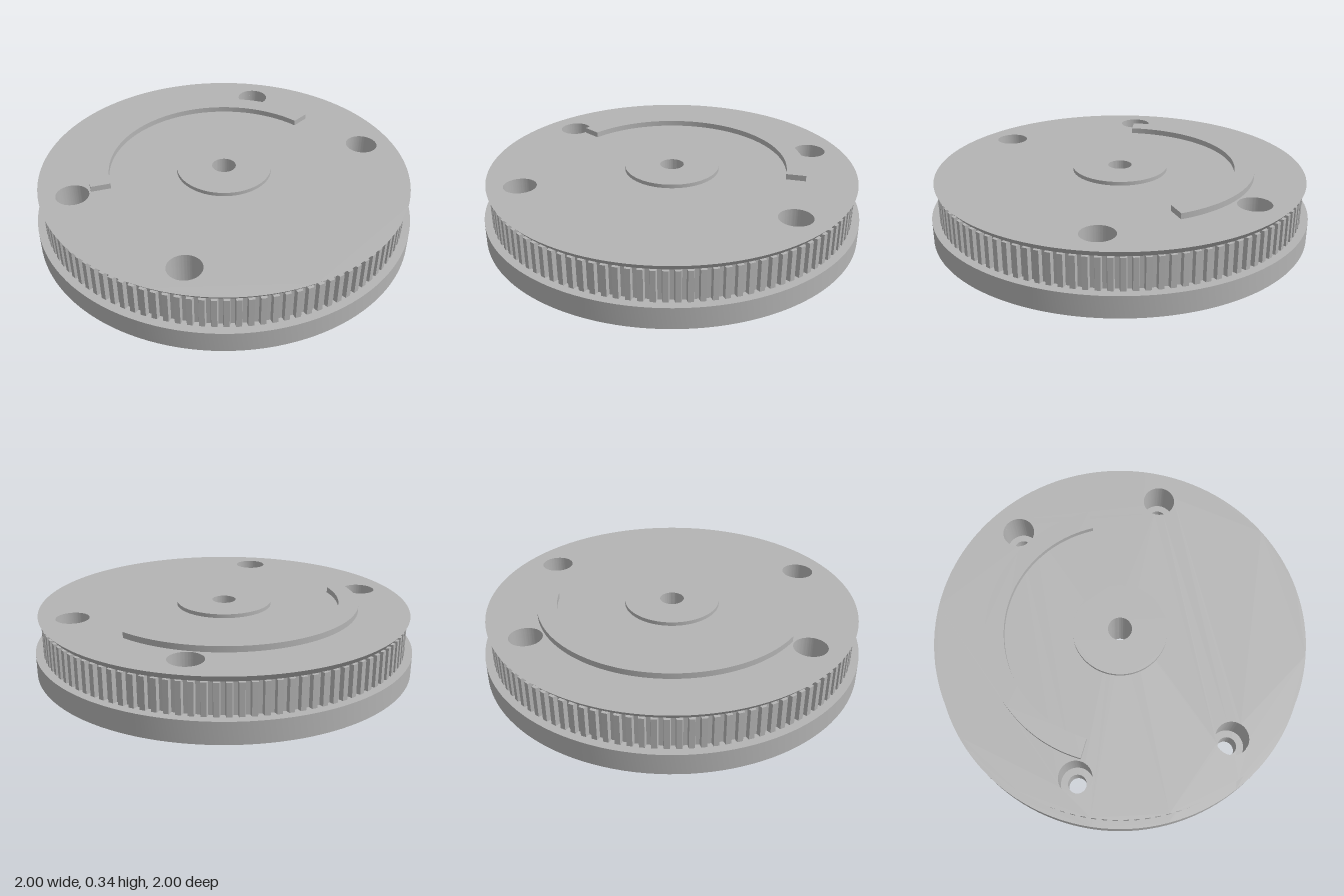
import * as THREE from 'three';
import { toCreasedNormals } from 'three/addons/utils/BufferGeometryUtils.js';

const BORE_R = 0.063, SCREW_R = 0.048, COUNTERBORE_R = 0.085;
const SCREW_X = 0.697, SCREW_Y = 0.402;

export function createModel() {
  const model = new THREE.Group();
  model.name = 'timingPulley';
  const grey = new THREE.MeshStandardMaterial({ color: 0xb4b4b4 });
  grey.name = 'plain grey';

  const disc = (r) => new THREE.Shape().absarc(0, 0, r, 0, Math.PI * 2);

  const addHole = (shape, x, y, r) => {
    shape.holes.push(new THREE.Path().absarc(x, y, r, 0, Math.PI * 2, true));
  };

  // Centre bore plus four screw holes
  const drill = (shape, screwR) => {
    addHole(shape, 0, 0, BORE_R);
    for (const sx of [-1, 1])
      for (const sy of [-1, 1]) addHole(shape, sx * SCREW_X, sy * SCREW_Y, screwR);
    return shape;
  };

  // Horizontal slab from y0 to y1; the optional rule moves its vertices
  const addSlab = (name, shape, y0, y1, crease = 0.5, rule = null) => {
    let geo = new THREE.ExtrudeGeometry(shape, {
      depth: y1 - y0, bevelEnabled: false, curveSegments: 64,
    });
    geo.rotateX(-Math.PI / 2).translate(0, y0, 0);
    if (rule) {
      const p = geo.attributes.position, v = new THREE.Vector3();
      for (let i = 0; i < p.count; i++) {
        rule(v.fromBufferAttribute(p, i));
        p.setXYZ(i, v.x, v.y, v.z);
      }
    }
    geo = toCreasedNormals(geo, crease);
    const mesh = new THREE.Mesh(geo, grey);
    mesh.name = name;
    model.add(mesh);
  };

  // Lower flange with plain screw holes
  addSlab('baseFlange', drill(disc(1), SCREW_R), 0, 0.11);

  // Belt teeth: grooves with slanted sides cut into the rim
  const teeth = 110, outer = 0.96, root = 0.937;
  const profile = [[0, outer], [0.48, outer], [0.56, root], [0.92, root]];
  const points = [];
  for (let i = 0; i < teeth; i++) {
    for (const [t, r] of profile) {
      const a = ((i + t) / teeth) * Math.PI * 2;
      points.push(new THREE.Vector2(Math.cos(a) * r, Math.sin(a) * r));
    }
  }
  addSlab('toothedRim', drill(new THREE.Shape(points), COUNTERBORE_R), 0.11, 0.27, 0.3);

  // Upper flange, tapering inward towards the teeth
  addSlab('topFlange', drill(disc(0.975), COUNTERBORE_R), 0.27, 0.305, 0.5, (v) => {
    const r = Math.hypot(v.x, v.z);
    if (r > 0.95 && v.y < 0.28) {
      v.x *= 0.945 / r;
      v.z *= 0.945 / r;
    }
  });

  // Raised hub around the bore
  const hub = disc(0.25);
  addHole(hub, 0, 0, BORE_R);
  addSlab('hub', hub, 0.305, 0.325);

  // Raised arc rail spanning 150 degrees
  const sweep = (150 * Math.PI) / 180;
  const rail = new THREE.Shape();
  rail.absarc(0, 0, 0.71, 0, sweep, false);
  rail.absarc(0, 0, 0.607, sweep, 0, true);
  addSlab('arcRail', rail, 0.305, 0.335);

  return model;
}
